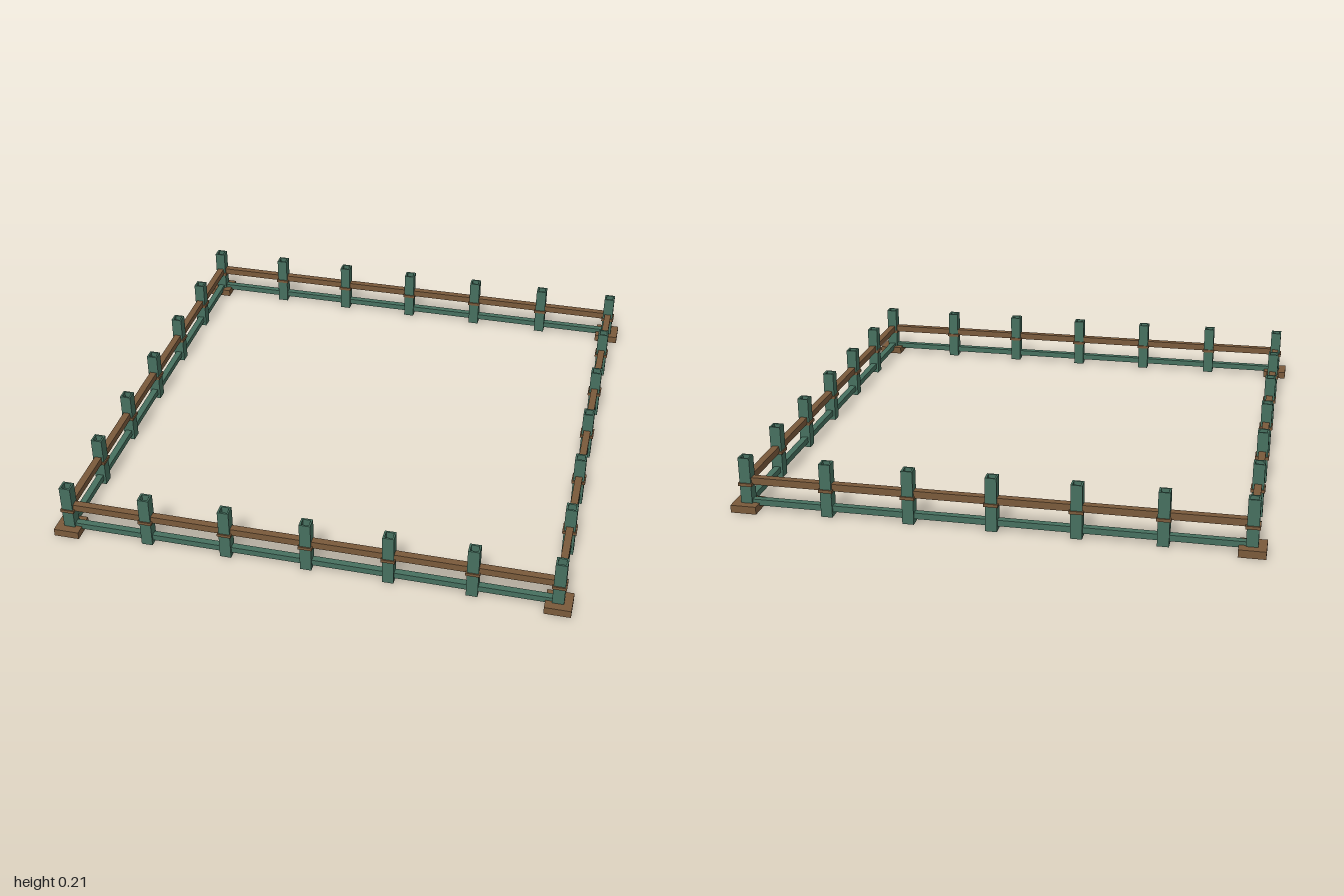
import * as THREE from 'three';

const HALF = 0.947;          // distance from centre to each fence line
const STEP = HALF / 3;       // post spacing
const POST = 0.044, WALL = 0.007, TOP = 0.213;

// Square upright tube, open at both ends
function tubeGeometry(outer, inner, height) {
  const square = (Type, s) => {
    const h = s / 2;
    return new Type([[-h, -h], [h, -h], [h, h], [-h, h]].map(([x, y]) => new THREE.Vector2(x, y)));
  };
  const shape = square(THREE.Shape, outer);
  shape.holes.push(square(THREE.Path, inner));
  const geometry = new THREE.ExtrudeGeometry(shape, { depth: height, bevelEnabled: false });
  return geometry.rotateX(-Math.PI / 2);
}

export function createModel() {
  const green = new THREE.MeshStandardMaterial({ color: 0x46705f });
  green.name = 'green paint';
  const brown = new THREE.MeshStandardMaterial({ color: 0x7a5a3b });
  brown.name = 'brown wood';

  const postGeometry = tubeGeometry(POST, POST - 2 * WALL, TOP);
  const collarGeometry = tubeGeometry(0.054, POST - 0.002, 0.012);
  const topRailGeometry = new THREE.BoxGeometry(2 * HALF, 0.028, 0.028);
  const lowRailGeometry = new THREE.BoxGeometry(2 * HALF, 0.024, 0.026);
  const padGeometry = new THREE.BoxGeometry(0.1, 0.03, 0.1);

  const model = new THREE.Group();
  model.name = 'fence';
  const add = (parent, name, geometry, material, x, y, z) => {
    const mesh = new THREE.Mesh(geometry, material);
    mesh.name = name;
    mesh.position.set(x, y, z);
    parent.add(mesh);
  };

  // Four equal sides, each owning the corner at its left end
  ['front', 'left', 'back', 'right'].forEach((name, i) => {
    const side = new THREE.Group();
    side.name = name + 'Side';
    side.rotation.y = i * Math.PI / 2;
    model.add(side);

    add(side, 'topRail', topRailGeometry, brown, 0, 0.119, HALF);
    add(side, 'lowerRail', lowRailGeometry, green, 0, 0.032, HALF);
    add(side, 'cornerPad', padGeometry, brown, 0.95, 0.015, 0.95);

    // Posts with a thin collar under the rail
    for (let k = -2; k <= 3; k++) {
      add(side, 'post', postGeometry, green, k * STEP, 0, HALF);
      add(side, 'collar', collarGeometry, brown, k * STEP, 0.1, HALF);
    }
  });
  return model;
}
